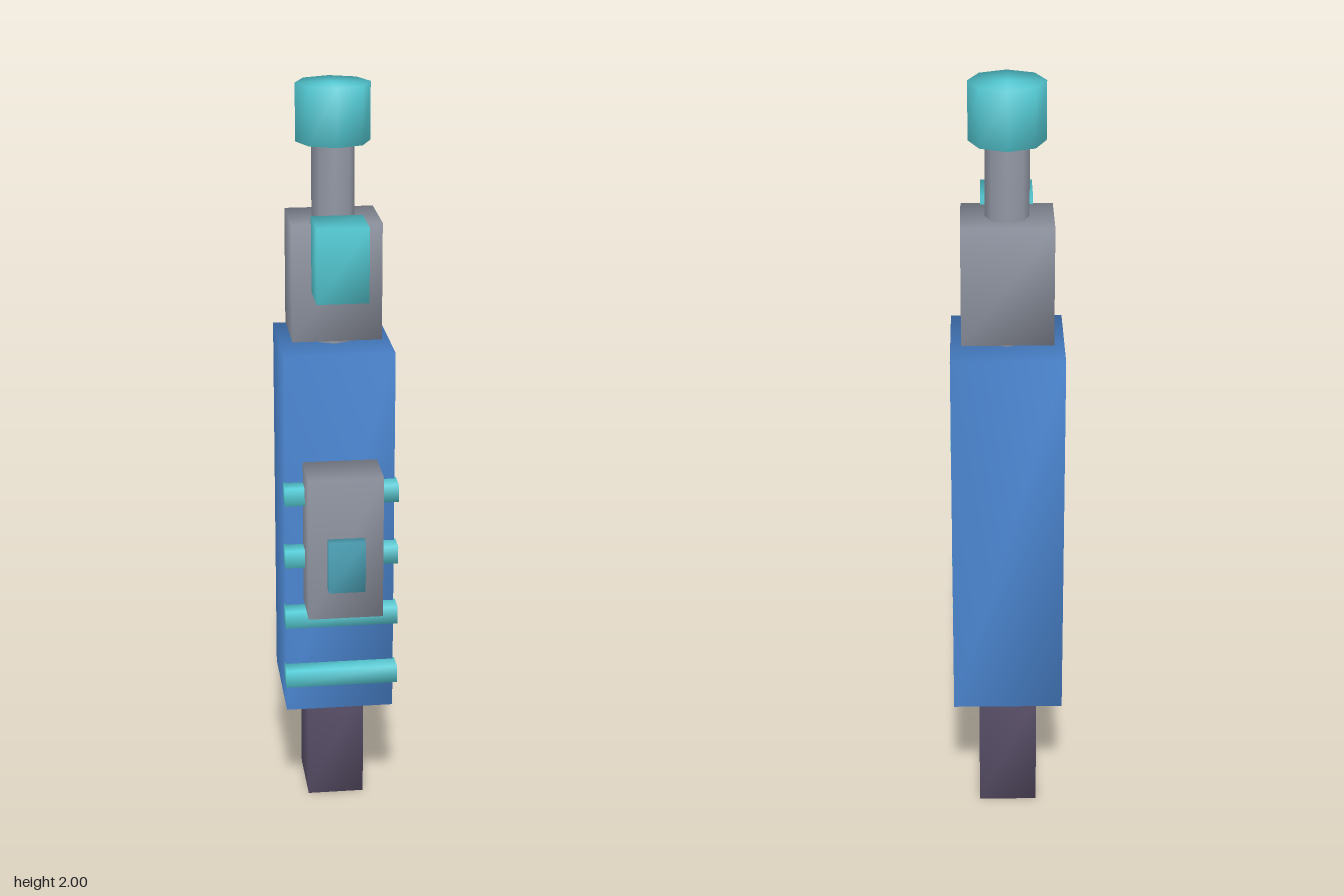
import * as THREE from 'three';
import { mergeVertices } from 'three/addons/utils/BufferGeometryUtils.js';

const mat = (name, color) => {
  const m = new THREE.MeshStandardMaterial({ color });
  m.name = name;
  return m;
};

// Share the corners so the shading runs smoothly over the edges
function smooth(geometry) {
  geometry.deleteAttribute('normal');
  geometry.deleteAttribute('uv');
  const g = mergeVertices(geometry);
  g.computeVertexNormals();
  return g;
}

export function createModel() {
  const group = new THREE.Group();
  const blue = mat('blue', 0x4f8cda);
  const cyan = mat('cyan', 0x55cbd5);
  const grey = mat('grey', 0x9196a3);
  const plum = mat('dark plum', 0x5a5069);
  const teal = mat('teal', 0x4b9fb4);

  const add = (name, geometry, material, x, y, z) => {
    const mesh = new THREE.Mesh(smooth(geometry), material);
    mesh.name = name;
    mesh.position.set(x, y, z);
    group.add(mesh);
  };
  // Box centred on x = 0, given by its half width and its y and z ranges
  const box = (name, material, half, y0, y1, z0, z1) =>
    add(name, new THREE.BoxGeometry(2 * half, y1 - y0, z1 - z0), material, 0, (y0 + y1) / 2, (z0 + z1) / 2);
  const cylinder = (name, material, r, y0, y1, z) =>
    add(name, new THREE.CylinderGeometry(r, r, y1 - y0, 8), material, 0, (y0 + y1) / 2, z);

  // Main column
  box('grip', plum, 0.077, 0, 0.33, -0.217, -0.022);
  box('body', blue, 0.145, 0.315, 1.325, -0.239, 0.072);
  cylinder('rod', grey, 0.056, 1.3, 1.87, -0.084);
  box('collar', grey, 0.117, 1.345, 1.655, -0.18, 0.013);
  cylinder('cap', cyan, 0.097, 1.85, 2, -0.084);

  // Front fittings
  box('sight', cyan, 0.067, 1.48, 1.675, 0.003, 0.14);
  box('frontHousing', grey, 0.098, 0.645, 1.035, 0.05, 0.208);
  box('button', teal, 0.048, 0.73, 0.87, 0.19, 0.237);

  // Cross bars
  for (let i = 0; i < 4; i++) {
    const y = 0.43 + i * 0.175;
    box(`crossBar${i + 1}`, cyan, 0.15, y - 0.024, y + 0.024, 0.063, 0.12);
  }
  return group;
}
